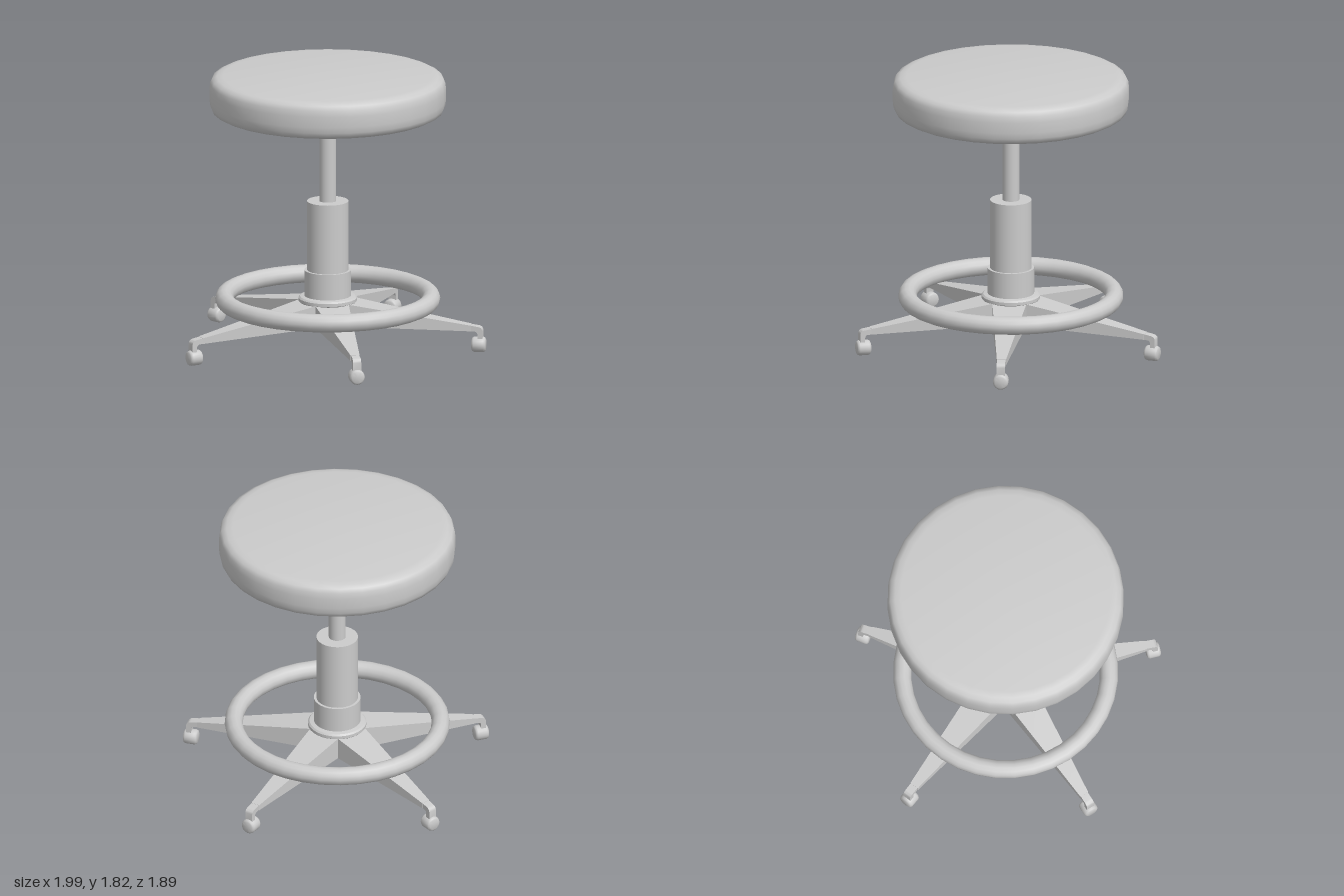
import * as THREE from 'three';
import { toCreasedNormals } from 'three/addons/utils/BufferGeometryUtils.js';

const material = new THREE.MeshStandardMaterial({ color: 0xcccccc });

function add(parent, name, geometry) {
  const mesh = new THREE.Mesh(geometry, material);
  mesh.name = name;
  parent.add(mesh);
  return mesh;
}

// Turned part from [radius, height] pairs, listed bottom to top
function turned(points, segments, crease = 0.6) {
  const profile = points.map(([r, y]) => new THREE.Vector2(r, y));
  return toCreasedNormals(new THREE.LatheGeometry(profile, segments), crease);
}

// Tapered bar along +z from stations [z, halfWidth, bottom, top]
function taperedBar(stations) {
  const pos = [], index = [], n = stations.length;
  for (const [z, w, lo, hi] of stations) pos.push(-w, lo, z, w, lo, z, w, hi, z, -w, hi, z);
  for (let i = 0; i < n - 1; i++) {
    for (let k = 0; k < 4; k++) {
      const a = i * 4 + k, b = i * 4 + (k + 1) % 4;
      index.push(a, b, b + 4, a, b + 4, a + 4);
    }
  }
  const e = (n - 1) * 4;
  index.push(e, e + 1, e + 2, e, e + 2, e + 3);
  const g = new THREE.BufferGeometry();
  g.setAttribute('position', new THREE.Float32BufferAttribute(pos, 3));
  g.setIndex(index);
  return toCreasedNormals(g, 0.3);
}

// Bent end of a leg: side profile (z, y) with a rounded elbow, extruded across the leg
function elbowGeometry() {
  const s = new THREE.Shape();
  s.moveTo(0.93, 0.143);
  s.lineTo(0.965, 0.14);
  s.quadraticCurveTo(0.982, 0.138, 0.982, 0.12);
  s.lineTo(0.982, 0.08);
  s.lineTo(1.015, 0.08);
  s.lineTo(1.015, 0.145);
  s.quadraticCurveTo(1.012, 0.168, 0.985, 0.172);
  s.lineTo(0.93, 0.18);
  s.closePath();
  const g = new THREE.ExtrudeGeometry(s, { depth: 0.054, bevelEnabled: false, curveSegments: 5 });
  g.translate(0, 0, -0.027);
  g.rotateY(-Math.PI / 2);
  return toCreasedNormals(g, 0.6);
}

export function createModel() {
  const model = new THREE.Group();
  model.name = 'stool';
  const stool = new THREE.Group();
  stool.name = 'stoolBody';
  stool.position.z = -0.085;
  model.add(stool);

  // Padded round seat with softened rims
  add(stool, 'seat', turned([
    [0, 1.57], [0.68, 1.57], [0.72, 1.575], [0.75, 1.59], [0.763, 1.62], [0.768, 1.66],
    [0.768, 1.73], [0.763, 1.77], [0.75, 1.797], [0.72, 1.812], [0.68, 1.818], [0, 1.82],
  ], 32, 0.9));

  // Piston, sleeve, collar and hub flange
  add(stool, 'piston', new THREE.CylinderGeometry(0.055, 0.055, 0.62, 24).translate(0, 1.27, 0));
  add(stool, 'sleeve', new THREE.CylinderGeometry(0.135, 0.135, 0.48, 32).translate(0, 0.74, 0));
  add(stool, 'collar', new THREE.CylinderGeometry(0.152, 0.152, 0.2, 32).translate(0, 0.42, 0));
  add(stool, 'hubFlange', turned([
    [0, 0.3], [0.175, 0.3], [0.19, 0.315], [0.19, 0.335], [0.18, 0.345], [0.15, 0.35],
  ], 32));

  // Foot ring
  add(stool, 'footRing', new THREE.TorusGeometry(0.672, 0.059, 14, 36).rotateX(Math.PI / 2).translate(0, 0.328, 0));

  // Five-legged star base with casters
  const legGeometry = taperedBar([
    [0, 0, 0.17, 0.33], [0.151, 0.11, 0.168, 0.315], [0.94, 0.03, 0.142, 0.18],
  ]);
  const elbow = elbowGeometry();
  const casterGeometry = turned([
    [0, -0.046], [0.036, -0.046], [0.045, -0.041], [0.05, -0.03],
    [0.05, 0.03], [0.045, 0.041], [0.036, 0.046], [0, 0.046],
  ], 20, 0.8).rotateX(Math.PI / 2).translate(0, 0.05, 0.988);
  for (let i = 0; i < 5; i++) {
    const arm = new THREE.Group();
    arm.name = `baseArm${i + 1}`;
    arm.rotation.y = i * Math.PI * 2 / 5;
    add(arm, 'leg', legGeometry);
    add(arm, 'casterStem', elbow);
    add(arm, 'caster', casterGeometry);
    stool.add(arm);
  }
  return model;
}
